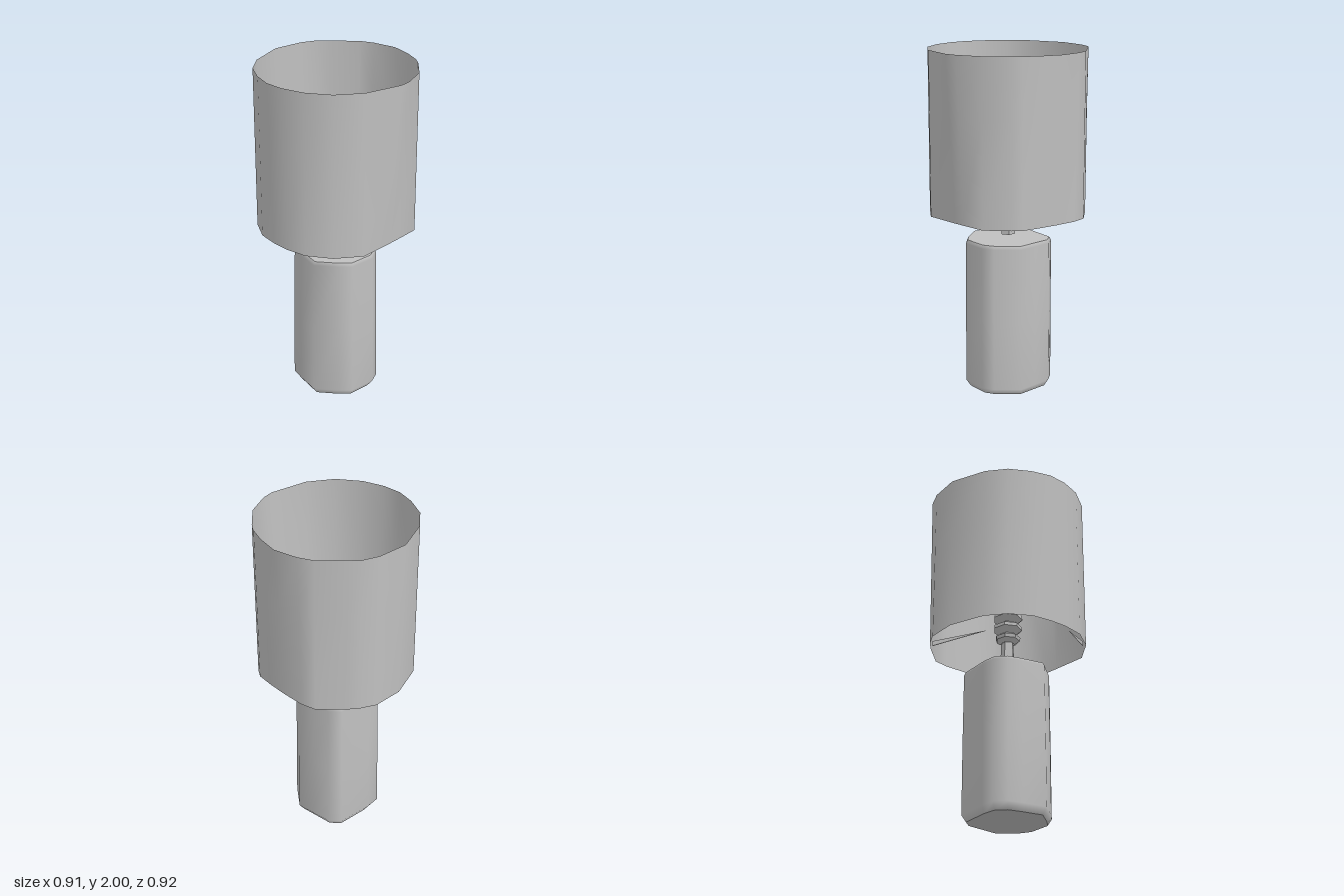
import * as THREE from 'three';

// Skins a stack of closed rings of [x, y, z] points with smooth sides
function loft(rings, capped) {
  const n = rings[0].length, pos = rings.flat(2), idx = [];
  for (let r = 0; r < rings.length - 1; r++) {
    for (let i = 0; i < n; i++) {
      const a = r * n + i, b = r * n + (i + 1) % n;
      idx.push(b, a, a + n, b, a + n, b + n);
    }
  }
  if (capped) {
    [[rings[0], false], [rings[rings.length - 1], true]].forEach(([ring, up]) => {
      const c = pos.length / 3;
      pos.push(0, ring[0][1], 0, ...ring.flat());
      for (let i = 0; i < n; i++) {
        const a = c + 1 + i, b = c + 1 + (i + 1) % n;
        idx.push(c, up ? b : a, up ? a : b);
      }
    });
  }
  const g = new THREE.BufferGeometry();
  g.setAttribute('position', new THREE.Float32BufferAttribute(pos, 3));
  g.setIndex(idx);
  g.computeVertexNormals();
  return g;
}

export function createModel() {
  const group = new THREE.Group();
  const grey = new THREE.MeshStandardMaterial({ color: 0xc0c0c0 });
  grey.name = 'grey';
  const greyThin = grey;
  greyThin.side = THREE.DoubleSide;
  const add = (name, geometry) => {
    const m = new THREE.Mesh(geometry, grey);
    m.name = name;
    group.add(m);
    return m;
  };

  // Base: an irregular chunky column with bevelled ends
  const outline = [[0, -0.255], [0.08, -0.24], [0.16, -0.16], [0.24, -0.08], [0.24, 0.08], [0.21, 0.15],
    [0.08, 0.245], [0, 0.24], [-0.15, 0.21], [-0.22, 0.08], [-0.255, 0], [-0.245, -0.08], [-0.18, -0.14]];
  const baseRing = (y, sx, sz) => outline.map(([x, z]) => [x * sx, y, z * sz]);
  add('base', loft([
    baseRing(0, 0.87, 0.9), baseRing(0.04, 1, 1), baseRing(0.45, 0.98, 1),
    baseRing(0.88, 0.95, 0.99), baseRing(0.9, 0.9, 0.95),
  ], true));

  // Shade: open drum; the third number pulls the lower rim inwards at the dents
  const rim = [[0.45, -0.08, 1], [0.42, -0.18, 0.94], [0.36, -0.3, 0.9], [0.25, -0.39, 0.96], [0.17, -0.43, 1],
    [0, -0.45, 1], [-0.07, -0.46, 0.98], [-0.17, -0.43, 1], [-0.32, -0.33, 0.98], [-0.43, -0.135, 1],
    [-0.455, 0, 1], [-0.43, 0.14, 1], [-0.385, 0.25, 0.96], [-0.31, 0.335, 0.97], [-0.2, 0.41, 1],
    [-0.05, 0.455, 1], [0.12, 0.44, 1], [0.32, 0.335, 0.88], [0.37, 0.28, 0.89], [0.44, 0.14, 1],
    [0.455, -0.02, 1]].reverse();
  const shadeRing = (y, dent) => rim.map(([x, z, k]) => {
    const s = 1 + (k - 1) * dent;
    return [x * s, y, z * s];
  });
  add('shade', loft([shadeRing(1.05, 1), shadeRing(1.65, 0.4), shadeRing(2, 0)], false));

  // Thin tapering wires that hold the shade
  [[0, 1, 0.36], [Math.PI / 2, 1, 0.36], [Math.PI, 1, 0.13], [-Math.PI / 2, 1, 0.34]].forEach(([angle, , inner]) => {
    const blade = new THREE.Shape([[0.44, 1.07], [0.44, 1.1], [inner, 1.17]].map(p => new THREE.Vector2(...p)));
    const g = new THREE.ExtrudeGeometry(blade, { depth: 0.005, bevelEnabled: false });
    g.translate(0, 0, -0.0025);
    add('shadeWire', g).rotation.y = angle - Math.PI / 2;
  });

  // Turned parts along the lamp's axis
  const turned = (name, profile, sides, faceted) => {
    let g = new THREE.LatheGeometry(profile.map(p => new THREE.Vector2(...p)), sides);
    if (faceted) {
      g = g.toNonIndexed();
      g.computeVertexNormals();
    }
    return add(name, g);
  };
  const stem = turned('stem', [[0, 0.92], [0.042, 0.92], [0.042, 0.985], [0.038, 1.1]], 5, true);
  stem.rotation.y = 0.5;
  turned('socket', [[0.038, 1.08], [0.07, 1.1], [0.075, 1.12], [0.045, 1.14], [0.085, 1.17],
    [0.085, 1.19], [0.05, 1.21], [0.088, 1.24], [0.08, 1.27], [0.05, 1.29]], 7, true);
  turned('bulb', [[0.05, 1.28], [0.075, 1.33], [0.086, 1.39], [0.08, 1.44], [0.055, 1.48], [0, 1.5]], 8, false);

  return group;
}
